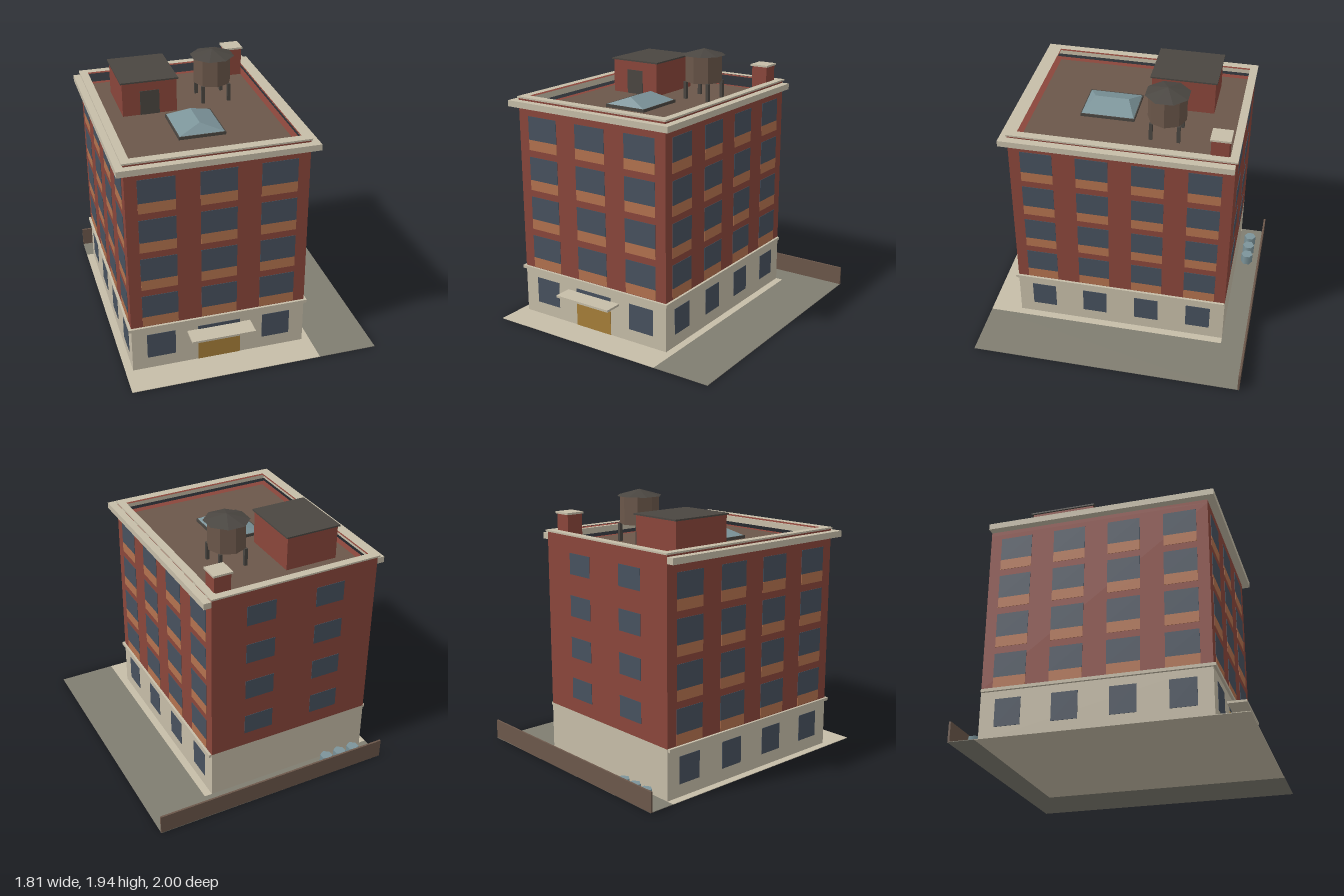
import * as THREE from 'three';

const mat = (name, color) => {
  const m = new THREE.MeshStandardMaterial({ color });
  m.name = name;
  return m;
};

export function createModel() {
  const model = new THREE.Group();
  model.name = 'apartmentBlock';

  const brick = mat('brick', 0x8a463b);
  const stone = mat('stone', 0xc6bda8);
  const pane = mat('windowPane', 0x47515e);
  const terracotta = mat('terracotta', 0xb3724e);
  const brown = mat('brownTimber', 0x6b574a);
  const asphalt = mat('asphalt', 0x807d71);
  const dark = mat('darkMetal', 0x4a4641);
  const glass = mat('paleGlass', 0x7c949a);
  const gold = mat('goldDoor', 0xa67f39);

  const add = (name, geometry, material, parent = model) => {
    const mesh = new THREE.Mesh(geometry, material);
    mesh.name = name;
    parent.add(mesh);
    return mesh;
  };
  // Box given by its extents
  const box = (name, material, x0, x1, y0, y1, z0, z1, parent) => {
    const g = new THREE.BoxGeometry(x1 - x0, y1 - y0, z1 - z0);
    g.translate((x0 + x1) / 2, (y0 + y1) / 2, (z0 + z1) / 2);
    return add(name, g, material, parent);
  };
  // Plan outline of [x, z] points raised from y0 to y1, with an optional hole
  const toPoints = (pts) => pts.map(([x, z]) => new THREE.Vector2(x, -z));
  const prism = (name, material, outline, hole, y0, y1) => {
    const shape = new THREE.Shape(toPoints(outline));
    if (hole) shape.holes.push(new THREE.Path(toPoints(hole)));
    const g = new THREE.ExtrudeGeometry(shape, { depth: y1 - y0, bevelEnabled: false });
    g.rotateX(-Math.PI / 2).translate(0, y0, 0);
    return add(name, g, material);
  };
  const rect = (x0, x1, z0, z1) => [[x0, z0], [x1, z0], [x1, z1], [x0, z1]];

  // Building footprint and main levels
  const X0 = -0.85, X1 = 0.42, Z0 = -0.81, Z1 = 0.772;
  const cx = (X0 + X1) / 2, cz = (Z0 + Z1) / 2;
  const FLOOR = 0.367, ROOF = 1.56, TOP = 1.645;

  // Lot
  box('pavement', stone, -0.905, 0.476, 0, 0.004, Z0, 1);
  box('sideYard', asphalt, 0.476, 0.905, 0, 0.004, Z0, 1);
  box('backYard', asphalt, -0.905, 0.905, 0, 0.004, -1, Z0);
  box('backFence', brown, -0.905, 0.905, 0, 0.145, -1, -0.986);
  for (const x of [-0.728, -0.612, -0.496]) {
    add('barrel', new THREE.CylinderGeometry(0.046, 0.046, 0.08, 6).toNonIndexed(), glass)
      .position.set(x, 0.042, -0.893);
  }

  // Walls, belt course, cornice and parapet
  box('groundFloor', stone, X0, X1, 0.002, FLOOR, Z0, Z1);
  box('upperFloors', brick, X0, X1, FLOOR, ROOF, Z0, Z1);
  box('beltCourse', stone, X0 - 0.018, X1 + 0.018, 0.346, 0.368, Z0 + 0.005, Z1 + 0.018);
  const inner = rect(-0.8, 0.371, -0.766, 0.711);
  prism('parapet', brick, rect(X0, X1, Z0, Z1), inner, ROOF, TOP);
  prism('parapetCap', stone, rect(X0 - 0.01, X1 + 0.008, Z0 - 0.014, Z1 + 0.006), inner, TOP, 1.657);
  prism('cornice', stone, [
    [-0.905, Z0], [-0.905, 0.826], [0.476, 0.826], [0.476, Z0],
    [X1 - 0.005, Z0 + 0.001], [X1 - 0.005, Z1 - 0.005], [X0 + 0.005, Z1 - 0.005], [X0 + 0.005, Z0 + 0.001],
  ], null, 1.587, 1.631);
  box('roofDeck', brown, -0.8, 0.371, ROOF - 0.002, ROOF + 0.003, -0.766, 0.711);

  // A facade is a group facing +z, with u measured from its centre
  const facade = (name, x, z, turn) => {
    const g = new THREE.Group();
    g.name = name;
    g.position.set(x, 0, z);
    g.rotation.y = turn;
    model.add(g);
    return g;
  };
  const plate = (name, material, g, u, w, y0, y1) =>
    box(name, material, u - w / 2, u + w / 2, y0, y1, -0.002, 0.003, g);

  const front = facade('frontFacade', cx, Z1, 0);
  const left = facade('leftFacade', X1, cz, Math.PI / 2);
  const right = facade('rightFacade', X0, cz, -Math.PI / 2);
  const back = facade('backFacade', cx, Z0, Math.PI);

  const bays = [
    [front, [-0.423, 0, 0.423], 0.255],
    [left, [-0.594, -0.198, 0.198, 0.594], 0.23],
    [right, [-0.594, -0.198, 0.198, 0.594], 0.23],
  ];
  for (let i = 0; i < 4; i++) {
    const y = 0.372 + i * 0.3005;
    for (const [g, us, w] of bays) {
      for (const u of us) {
        plate('spandrel', terracotta, g, u, w, y, y + 0.077);
        plate('window', pane, g, u, w, y + 0.077, y + 0.25);
      }
    }
    for (const u of [-0.266, 0.266]) plate('backWindow', pane, back, u, 0.22, y + 0.1, y + 0.25);
  }

  // Ground floor openings
  for (const u of [-0.423, 0.423]) plate('shopWindow', pane, front, u, 0.206, 0.096, 0.292);
  for (const g of [left, right]) {
    for (const u of bays[1][1]) plate('sideShopWindow', pane, g, u, 0.182, 0.095, 0.29);
  }
  plate('entranceDoor', gold, front, 0, 0.31, 0.004, 0.227);
  plate('transom', pane, front, 0, 0.31, 0.237, 0.292);
  box('canopy', stone, -0.448, 0.016, 0.25, 0.266, Z1 - 0.004, 0.907);

  // Stair bulkhead
  box('bulkhead', brick, -0.668, -0.272, ROOF, 1.812, -0.572, -0.11);
  box('bulkheadRoof', dark, -0.68, -0.26, 1.811, 1.822, -0.584, -0.1);
  box('bulkheadDoor', dark, -0.54, -0.4, ROOF, 1.744, -0.113, -0.106);

  // Chimney
  box('chimney', brick, 0.252, 0.375, ROOF, 1.773, -0.755, -0.632);
  box('chimneyCap', stone, 0.242, 0.384, 1.772, 1.786, -0.765, -0.624);

  // Water tank on four legs
  const tank = new THREE.Group();
  tank.name = 'waterTank';
  tank.position.set(0.04, 0, -0.28);
  model.add(tank);
  const faceted = (g) => {
    const flat = g.toNonIndexed();
    flat.computeVertexNormals();
    return flat;
  };
  add('tankDrum', faceted(new THREE.CylinderGeometry(0.139, 0.139, 0.2, 8)), brown, tank).position.y = 1.792;
  const cone = faceted(new THREE.ConeGeometry(0.163, 0.046, 8).rotateY(Math.PI / 8));
  add('tankRoof', cone, dark, tank).position.y = 1.914;
  for (const x of [-0.097, 0.097]) {
    for (const z of [-0.098, 0.098]) {
      box('tankLeg', dark, x - 0.012, x + 0.012, ROOF, 1.694, z - 0.012, z + 0.012, tank);
    }
  }

  // Hipped skylight
  box('skylightFrame', dark, -0.382, -0.046, ROOF, 1.585, -0.028, 0.368);
  const a = [-0.374, 1.585, -0.021], b = [-0.054, 1.585, -0.021];
  const c = [-0.054, 1.585, 0.361], d = [-0.374, 1.585, 0.361];
  const r0 = [-0.214, 1.642, 0.047], r1 = [-0.214, 1.642, 0.293];
  const hip = new THREE.BufferGeometry();
  const faces = [d, c, r1, b, a, r0, c, b, r0, c, r0, r1, a, d, r1, a, r1, r0];
  hip.setAttribute('position', new THREE.Float32BufferAttribute(faces.flat(), 3));
  hip.computeVertexNormals();
  add('skylightGlass', hip, glass);

  return model;
}
